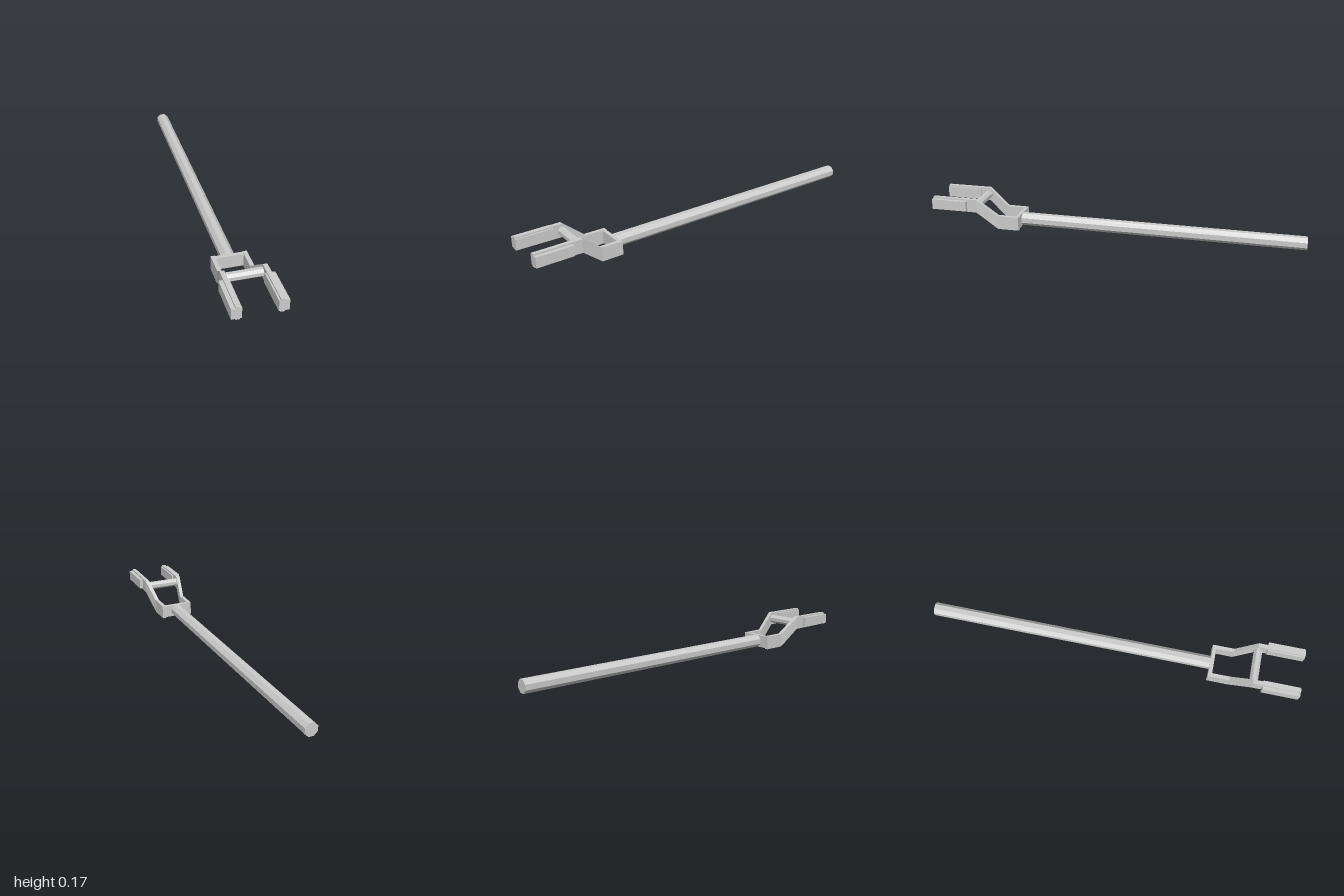
import * as THREE from 'three';

const material = new THREE.MeshStandardMaterial({ color: 0xcccccc, flatShading: true });

function add(group, name, geometry, x = 0, y = 0, z = 0) {
  const mesh = new THREE.Mesh(geometry, material);
  mesh.name = name;
  mesh.position.set(x, y, z);
  group.add(mesh);
  return mesh;
}

// Octagonal bar along y with flats facing the axes; flat = half width across flats
function octagonBar(flat, length) {
  const r = flat / Math.cos(Math.PI / 8);
  return new THREE.CylinderGeometry(r, r, length, 8).rotateY(Math.PI / 8);
}

// Loft of rectangular sections [z, x0, x1, y0, y1], ordered by rising z
function loft(sections) {
  const rings = sections.map(([z, x0, x1, y0, y1]) =>
    [[x0, y0, z], [x1, y0, z], [x1, y1, z], [x0, y1, z]]);
  const pos = [];
  const quad = (a, b, c, d) => [a, b, c, a, c, d].forEach(p => pos.push(...p));
  for (let i = 0; i < rings.length - 1; i++) {
    for (let k = 0; k < 4; k++) {
      const n = (k + 1) % 4;
      quad(rings[i][k], rings[i][n], rings[i + 1][n], rings[i + 1][k]);
    }
  }
  quad(...[...rings[0]].reverse());
  quad(...rings[rings.length - 1]);
  const g = new THREE.BufferGeometry();
  g.setAttribute('position', new THREE.Float32BufferAttribute(pos, 3));
  g.computeVertexNormals();
  return g;
}

export function createModel() {
  const group = new THREE.Group();
  group.name = 'forkedLever';

  // Long shaft
  add(group, 'shaft', octagonBar(0.033, 1.535).rotateX(Math.PI / 2), 0, 0.038, -0.2325);

  // Plate joining the shaft to the fork
  add(group, 'yokePlate', new THREE.BoxGeometry(0.15, 0.068, 0.02), 0, 0.038, 0.536);

  // Octagonal crossbar between the arms
  add(group, 'crossbar', octagonBar(0.0215, 0.18).rotateZ(Math.PI / 2), 0, 0.129, 0.758);

  // Cranked arm: [z, inner x, outer x, bottom, top]
  const arm = [
    [0.525, 0.069, 0.09, 0, 0.074],
    [0.642, 0.069, 0.09, 0, 0.075],
    [0.753, 0.09, 0.112, 0.094, 0.166],
    [1.0, 0.09, 0.111, 0.097, 0.166],
  ];

  for (const side of [1, -1]) {
    const label = side > 0 ? 'left' : 'right';
    add(group, label + 'Arm', loft(arm.map(([z, a, b, y0, y1]) =>
      side > 0 ? [z, a, b, y0, y1] : [z, -b, -a, y0, y1])));

    // Grip pads on both faces of the arm
    add(group, label + 'OuterPad', new THREE.BoxGeometry(0.023, 0.055, 0.195), side * 0.1195, 0.13, 0.9025);
    add(group, label + 'InnerPad', new THREE.BoxGeometry(0.012, 0.055, 0.195), side * 0.088, 0.13, 0.9025);
  }
  return group;
}
